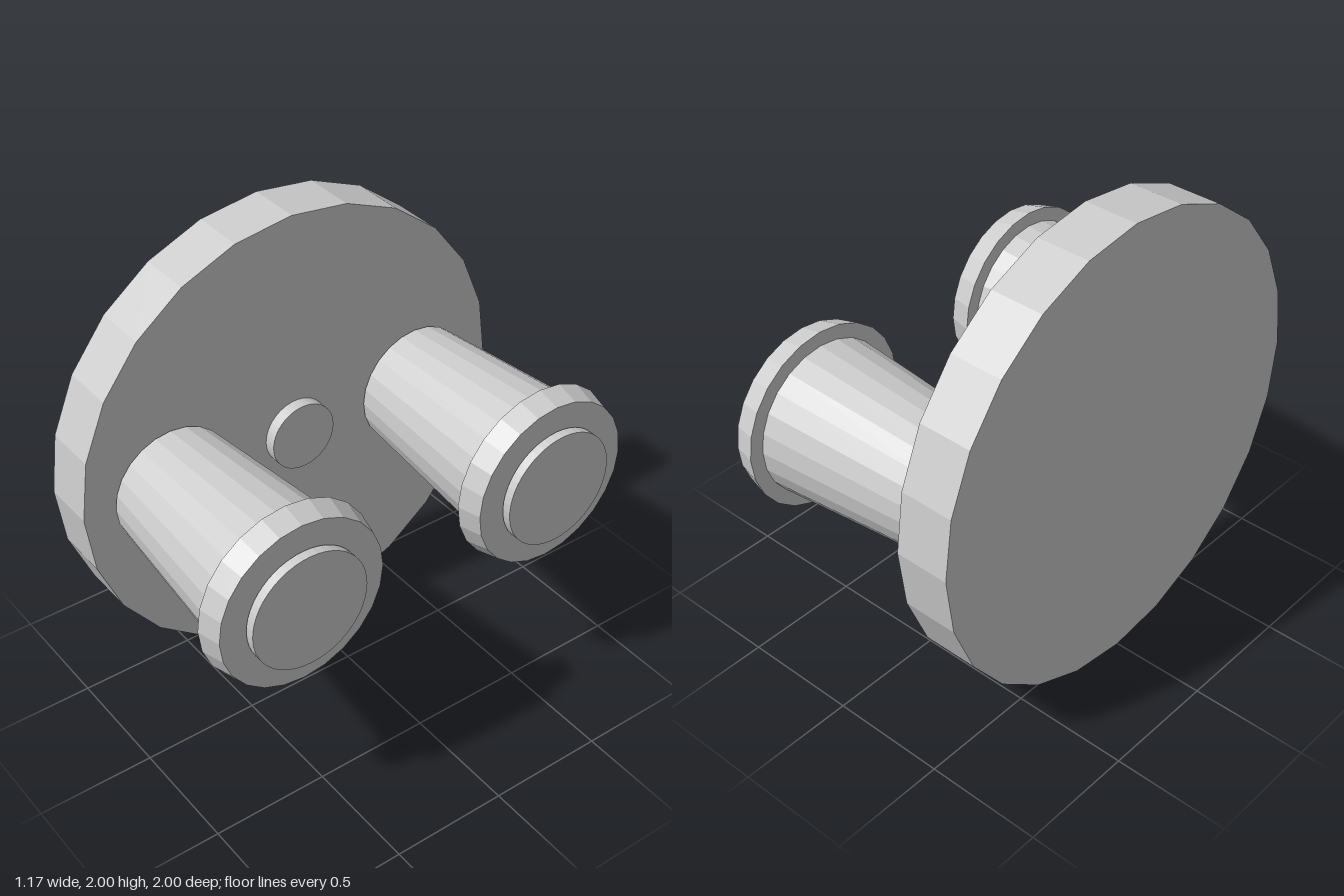
import * as THREE from 'three';

const material = new THREE.MeshStandardMaterial({ color: 0xcccccc, flatShading: true });

// Cylinder lying along x, from x0 (radius r0) to x1 (radius r1)
function disc(name, x0, x1, r0, r1, sides) {
  const geometry = new THREE.CylinderGeometry(r1, r0, x1 - x0, sides);
  geometry.rotateZ(-Math.PI / 2);
  geometry.translate((x0 + x1) / 2, 0, 0);
  const mesh = new THREE.Mesh(geometry, material);
  mesh.name = name;
  return mesh;
}

// Tapered peg with a flared collar and a thin end cap
function makePeg(name, z) {
  const peg = new THREE.Group();
  peg.name = name;
  peg.add(
    disc('pegBody', -0.34, 0.433, 0.265, 0.328, 24),
    disc('pegCollar', 0.433, 0.535, 0.39, 0.365, 24),
    disc('pegCap', 0.543, 0.583, 0.255, 0.255, 48)
  );
  peg.position.z = z;
  return peg;
}

export function createModel() {
  const model = new THREE.Group();
  model.name = 'discWithPegs';

  // Everything is centred on the axis of the big disc
  const assembly = new THREE.Group();
  assembly.name = 'assembly';
  assembly.position.y = 1;

  assembly.add(disc('basePlate', -0.59, -0.355, 1, 1, 24));
  assembly.add(disc('centreButton', -0.355, -0.302, 0.15, 0.15, 48));
  assembly.add(makePeg('leftPeg', 0.6), makePeg('rightPeg', -0.6));

  model.add(assembly);
  return model;
}
